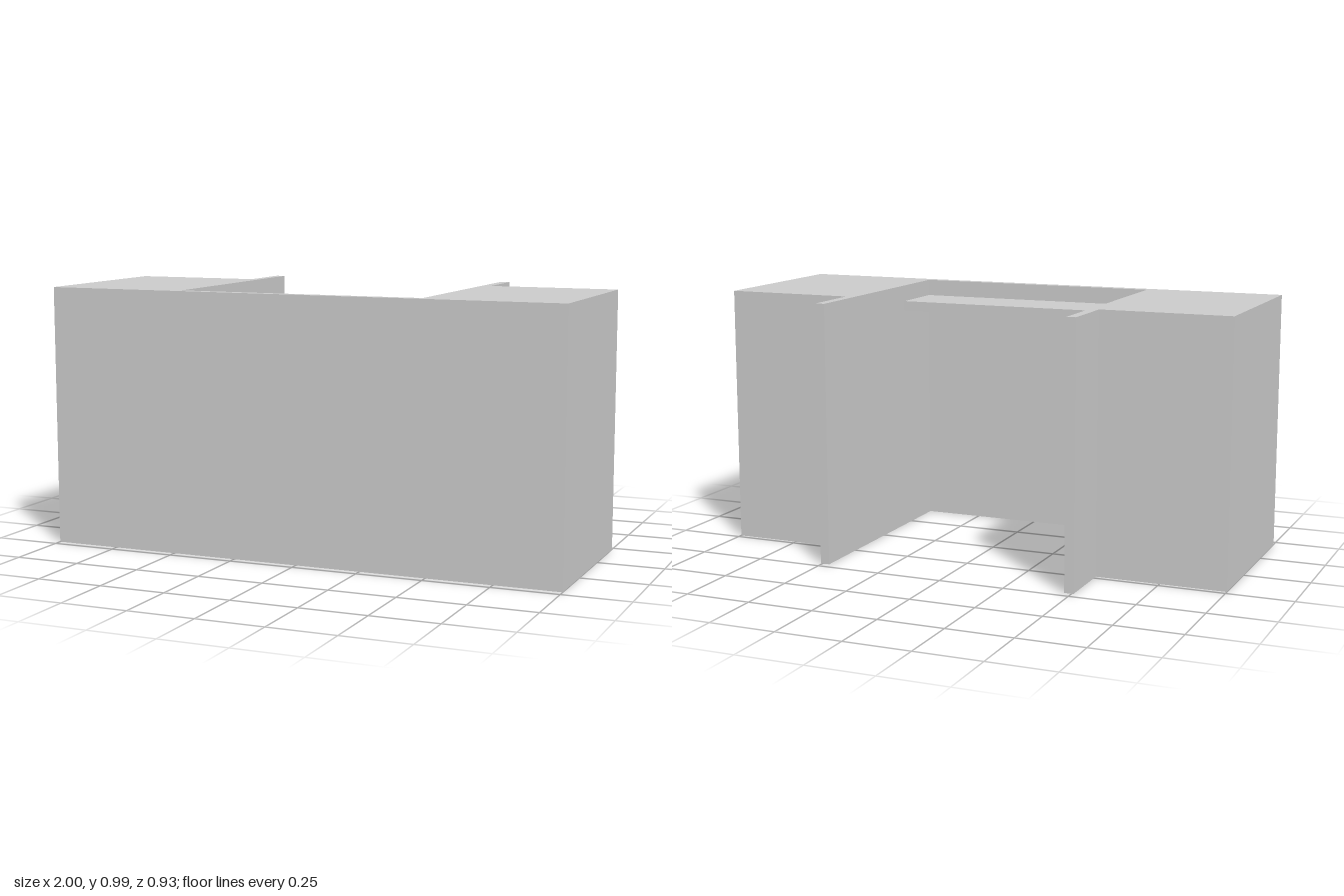
import * as THREE from 'three';

const H = 0.985;              // overall height
const T = 0.035;              // panel thickness
const FRONT = 0.467;          // outer face of the front panel
const BACK = -0.467;          // rear end of the kneehole walls
const CAB_BACK = -0.23;       // rear face of the cabinets
const IN = 0.472;             // kneehole half width
const MID = IN + T;           // outer face of the kneehole walls

export function createModel() {
  const desk = new THREE.Group();
  desk.name = 'receptionDesk';
  const material = new THREE.MeshStandardMaterial({ color: 0xcccccc });

  // Box given by its lower and upper limits on each axis
  const panel = (name, [x0, x1], [y0, y1], [z0, z1]) => {
    const mesh = new THREE.Mesh(
      new THREE.BoxGeometry(Math.abs(x1 - x0), y1 - y0, z1 - z0), material);
    mesh.position.set((x0 + x1) / 2, (y0 + y1) / 2, (z0 + z1) / 2);
    mesh.name = name;
    desk.add(mesh);
  };

  // Full-width front and the lowered shelf behind it
  const inner = FRONT - T;
  panel('frontPanel', [-1, 1], [0, H], [inner, FRONT]);
  panel('kneeholeShelf', [-IN, IN], [0.885, 0.922], [0.2, inner]);

  // Mirrored side cabinets, hollow and open underneath
  for (const [side, s] of [['left', 1], ['right', -1]]) {
    panel(side + 'KneeholeWall', [s * IN, s * MID], [0, H], [BACK, inner]);
    panel(side + 'OuterWall', [s * (1 - T), s], [0, H], [CAB_BACK, inner]);
    panel(side + 'BackPanel', [s * MID, s * (1 - T)], [0, H], [CAB_BACK, CAB_BACK + T]);
    panel(side + 'CabinetTop', [s * MID, s * (1 - T)], [H - T, H], [CAB_BACK + T, inner]);
  }
  return desk;
}
